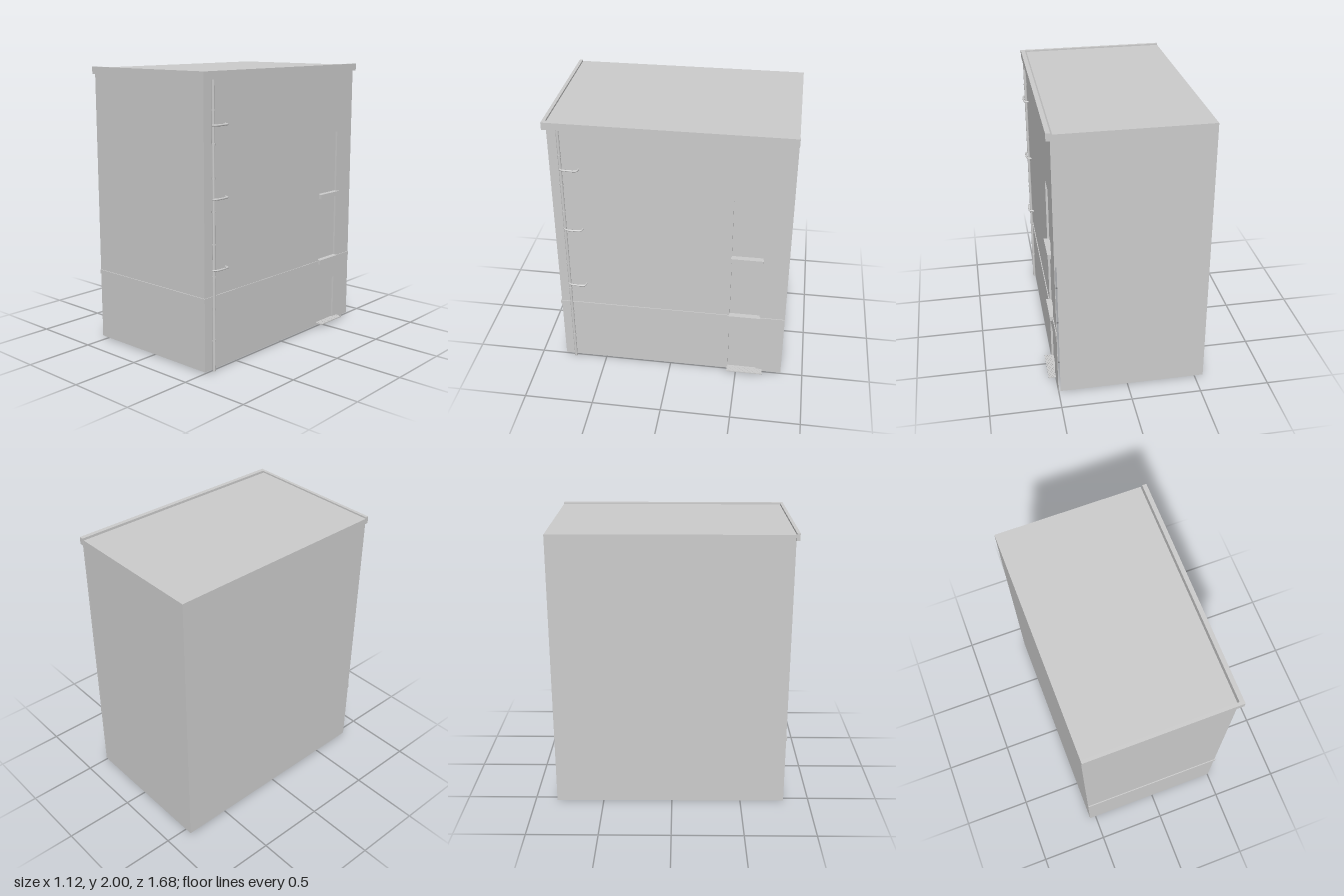
import * as THREE from 'three';

const grey = new THREE.MeshStandardMaterial({ color: 0xcccccc, side: THREE.DoubleSide });

function add(parent, name, geometry) {
  const mesh = new THREE.Mesh(geometry, grey);
  mesh.name = name;
  parent.add(mesh);
  return mesh;
}

// Box given by its limits on each axis
function block(parent, name, [x0, x1], [y0, y1], [z0, z1]) {
  const mesh = add(parent, name, new THREE.BoxGeometry(x1 - x0, y1 - y0, z1 - z0));
  mesh.position.set((x0 + x1) / 2, (y0 + y1) / 2, (z0 + z1) / 2);
  return mesh;
}

// Flat four-cornered panel, corners counter-clockwise seen from outside
function panel(parent, name, corners) {
  const g = new THREE.BufferGeometry();
  g.setAttribute('position', new THREE.Float32BufferAttribute(corners.flat(), 3));
  g.setIndex([0, 1, 2, 0, 2, 3]);
  g.computeVertexNormals();
  return add(parent, name, g);
}

// Rectangle in the side wall's plane, where shape x runs along -z
function rect(Type, [z0, z1], [y0, y1], grow = 0) {
  const a = -z1 - grow, b = -z0 + grow, c = y0 - grow, d = y1 + grow;
  return new Type([[a, c], [b, c], [b, d], [a, d]].map(p => new THREE.Vector2(...p)));
}

function sidePlate(parent, name, shape, x0, x1) {
  const mesh = add(parent, name, new THREE.ExtrudeGeometry(shape, { depth: x1 - x0, bevelEnabled: false }));
  mesh.rotation.y = Math.PI / 2;
  mesh.position.x = x0;
  return mesh;
}

export function createModel() {
  const model = new THREE.Group();
  model.name = 'building';

  // Shell, open underneath, slightly wider at the back
  const L = -0.548, B = -0.56, R = 0.487, F = 0.815, K = -0.838, lo = 0.01, hi = 1.99;
  panel(model, 'frontWall', [[L, lo, F], [0.503, lo, F], [0.503, hi, F], [L, hi, F]]);
  panel(model, 'leftWall', [[B, lo, K], [L, lo, F], [L, hi, F], [B, hi, K]].reverse());
  panel(model, 'backWall', [[R, lo, K], [B, lo, K], [B, hi, K], [R, hi, K]]);
  panel(model, 'roof', [[L, hi, F], [R, hi, F], [R, hi, K], [B, hi, K]]);

  // Side wall with two windows and a low door
  const openings = [
    { name: 'lowerWindow', z: [-0.655, -0.437], y: [0.52, 1.01] },
    { name: 'upperWindow', z: [-0.655, -0.437], y: [1.035, 1.495] },
    { name: 'door', z: [-0.65, -0.437], y: [0.025, 0.355] },
  ];
  const wall = rect(THREE.Shape, [K, F], [lo, 1.97]);
  for (const o of openings) wall.holes.push(rect(THREE.Path, o.z, o.y));
  sidePlate(model, 'rightWall', wall, 0.499, 0.503);

  // Recessed frames and panes
  for (const o of openings) {
    const frame = rect(THREE.Shape, o.z, o.y, 0.003);
    frame.holes.push(rect(THREE.Path, o.z, o.y));
    sidePlate(model, o.name + 'Frame', frame, 0.487, 0.502);
    sidePlate(model, o.name + 'Pane', rect(THREE.Shape, o.z, o.y), 0.486, 0.488);
  }

  // Window sills
  for (const y of [0.497, 1.005]) {
    block(model, 'sill', [0.487, 0.528], [y, y + 0.034], [-0.66, -0.433]);
  }

  // Cornice along the front and the side
  block(model, 'frontCornice', [L, 0.53], [1.948, 2], [F + 0.002, 0.84]);
  block(model, 'sideCornice', [0.499, 0.53], [1.948, 2], [-0.84, 0.84]);

  // Thin band round the two street sides
  block(model, 'frontBand', [L, 0.509], [0.494, 0.523], [F, 0.822]);
  block(model, 'sideBand', [0.502, 0.509], [0.494, 0.523], [K, 0.822]);

  // Doorstep grate of long bars tied by two cross bars
  const grate = new THREE.Group();
  grate.name = 'doorGrate';
  model.add(grate);
  for (let i = 0; i < 6; i++) {
    const x = 0.5 + i * 0.0093;
    block(grate, 'grateBar', [x, x + 0.0085], [0.021, 0.028], [-0.697, -0.432]);
  }
  for (const z of [-0.69, -0.444]) block(grate, 'grateCrossBar', [0.5, 0.555], [0.019, 0.024], [z, z + 0.006]);

  // Drainpipe with collars
  const pipeX = 0.514, pipeZ = 0.738;
  const pipe = add(model, 'drainpipe', new THREE.CylinderGeometry(0.0105, 0.0105, 1.95, 12));
  pipe.position.set(pipeX, 0.975, pipeZ);
  for (let i = 0; i < 8; i++) {
    const collar = add(model, 'pipeCollar', new THREE.CylinderGeometry(0.0125, 0.0125, 0.012, 12));
    collar.position.set(pipeX, 0.215 + i * 0.22, pipeZ);
  }

  // Curved brackets reaching from the pipe back to the wall
  const bracket = new THREE.CatmullRomCurve3([
    [0.512, 0.745], [0.53, 0.735], [0.537, 0.71], [0.538, 0.65], [0.532, 0.622], [0.505, 0.615],
  ].map(([x, z]) => new THREE.Vector3(x, 0, z)));
  for (const y of [0.702, 1.178, 1.657]) {
    add(model, 'pipeBracket', new THREE.TubeGeometry(bracket, 20, 0.007, 8)).position.y = y;
  }

  return model;
}
